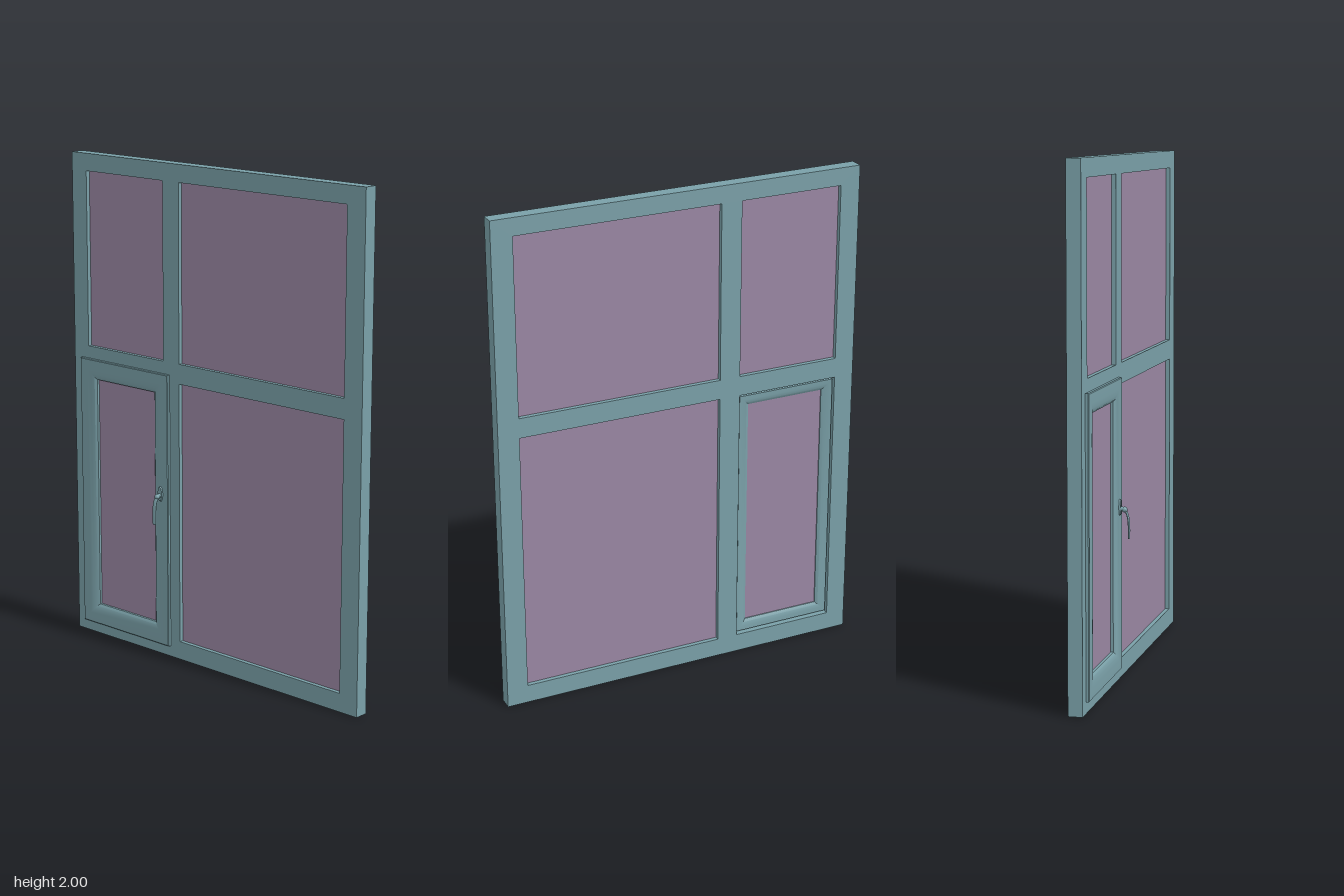
import * as THREE from 'three';
import { toCreasedNormals } from 'three/addons/utils/BufferGeometryUtils.js';

const frameMat = new THREE.MeshStandardMaterial({ color: 0x7aa0a8 });
const glassMat = new THREE.MeshStandardMaterial({ color: 0x9a87a3 });

// Openings as [x0, x1, y0, y1]
const FIXED = [
  [-0.67, -0.25, 1.22, 1.93],
  [-0.165, 0.665, 1.22, 1.93],
  [-0.165, 0.665, 0.075, 1.14],
];
const CASEMENT = [-0.67, -0.25, 0.075, 1.14];
const SASH = [-0.705, -0.215, 0.045, 1.17];

function add(parent, name, geometry, material, x = 0, y = 0, z = 0) {
  const mesh = new THREE.Mesh(geometry, material);
  mesh.name = name;
  mesh.position.set(x, y, z);
  parent.add(mesh);
  return mesh;
}

function rectPath(Type, [x0, x1, y0, y1]) {
  return new Type([[x0, y0], [x1, y0], [x1, y1], [x0, y1]].map((p) => new THREE.Vector2(...p)));
}

function pane(parent, name, [x0, x1, y0, y1], z) {
  add(parent, name, new THREE.BoxGeometry(x1 - x0, y1 - y0, 0.02), glassMat, (x0 + x1) / 2, (y0 + y1) / 2, z);
}

// Sweeps a closed [inset, z] profile round a rectangle with mitred corners
function mitredRing([x0, x1, y0, y1], profile) {
  const pos = [];
  const corner = (k, [d, z]) => [
    [x0 + d, y0 + d, z], [x1 - d, y0 + d, z], [x1 - d, y1 - d, z], [x0 + d, y1 - d, z],
  ][k % 4];
  for (let k = 0; k < 4; k++) {
    profile.forEach((p, i) => {
      const q = profile[(i + 1) % profile.length];
      const a = corner(k, p), b = corner(k + 1, p), c = corner(k + 1, q), d = corner(k, q);
      pos.push(...a, ...b, ...c, ...a, ...c, ...d);
    });
  }
  const geo = new THREE.BufferGeometry();
  geo.setAttribute('position', new THREE.Float32BufferAttribute(pos, 3));
  return toCreasedNormals(geo, 0.6);
}

export function createModel() {
  const model = new THREE.Group();
  model.name = 'window';

  // Fixed frame with its crossing bars
  const outline = rectPath(THREE.Shape, [-0.75, 0.75, 0, 2]);
  outline.holes = [...FIXED, CASEMENT].map((r) => rectPath(THREE.Path, r));
  add(model, 'outerFrame', new THREE.ExtrudeGeometry(outline, { depth: 0.055, bevelEnabled: false }),
    frameMat, 0, 0, -0.055);
  FIXED.forEach((r, i) => pane(model, `fixedPane${i + 1}`, r, -0.027));

  // Opening sash: front lip overlaps the frame, inner edge slopes to the pane
  const sash = new THREE.Group();
  sash.name = 'sash';
  model.add(sash);
  add(sash, 'sashFrame', mitredRing(SASH, [
    [0, 0.001], [0, 0.011], [0.003, 0.014], [0.042, 0.014], [0.06, 0.012], [0.074, 0.007], [0.083, 0],
    [0.083, -0.034], [0.072, -0.041], [0.058, -0.045], [0.04, -0.046], [0.04, 0.001],
  ]), frameMat);
  const [x0, x1, y0, y1] = SASH;
  pane(sash, 'sashPane', [x0 + 0.08, x1 - 0.08, y0 + 0.08, y1 - 0.08], -0.02);

  // Handle: oval plate, neck, knuckle and a curved lever
  const handle = new THREE.Group();
  handle.name = 'handle';
  handle.position.set(-0.255, 0.68, 0.014);
  model.add(handle);
  const plate = add(handle, 'handlePlate', new THREE.CylinderGeometry(0.011, 0.012, 0.006, 24), frameMat, 0, 0, 0.003);
  plate.rotation.x = Math.PI / 2;
  plate.scale.z = 2.6;
  const neck = add(handle, 'handleNeck', new THREE.CylinderGeometry(0.008, 0.009, 0.018, 20), frameMat, 0, -0.006, 0.012);
  neck.rotation.x = Math.PI / 2;
  add(handle, 'handleKnuckle', new THREE.SphereGeometry(0.011, 20, 14), frameMat, 0, -0.008, 0.02);

  const curve = new THREE.CatmullRomCurve3([
    [0, -0.004, 0.017], [0, -0.018, 0.027], [0, -0.04, 0.034], [0, -0.075, 0.037], [0, -0.114, 0.037],
  ].map((p) => new THREE.Vector3(...p)));
  const lever = add(handle, 'handleLever', new THREE.TubeGeometry(curve, 24, 0.004, 14), frameMat);
  lever.scale.x = 2.4;
  const tip = add(handle, 'handleTip', new THREE.SphereGeometry(0.004, 14, 10), frameMat, 0, -0.114, 0.037);
  tip.scale.set(2.4, 1.6, 1);

  return model;
}
